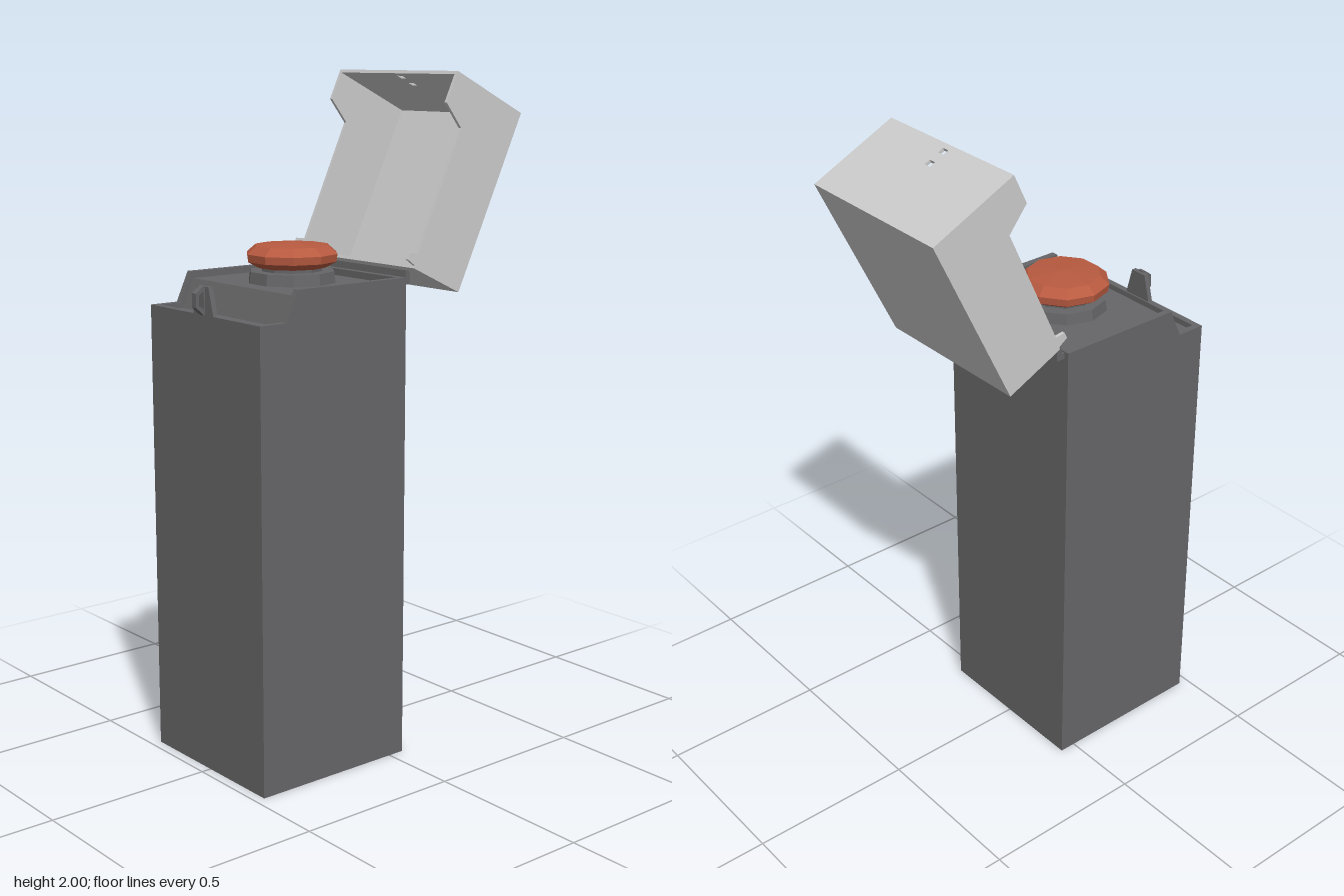
import * as THREE from 'three';

const mat = (color) => new THREE.MeshStandardMaterial({ color, side: THREE.DoubleSide, flatShading: true });
const dark = mat(0x666668), light = mat(0xcccccc), red = mat(0xb85a40);

function add(parent, name, geometry, material, x = 0, y = 0, z = 0) {
  const mesh = new THREE.Mesh(geometry, material);
  mesh.name = name;
  mesh.position.set(x, y, z);
  parent.add(mesh);
  return mesh;
}

const toPoints = (list) => list.map(([a, b]) => new THREE.Vector2(a, b));

// Extrude a (z, y) outline across x, centred on x = 0
function extrudeX(outline, width, hole) {
  const shape = new THREE.Shape(toPoints(outline));
  if (hole) shape.holes.push(new THREE.Path(toPoints(hole)));
  return new THREE.ExtrudeGeometry(shape, { depth: width, bevelEnabled: false })
    .rotateY(-Math.PI / 2).translate(width / 2, 0, 0);
}

// Flat-faced band between two lines of [x, y, z] points
function ribbon(a, b) {
  const pos = [];
  for (let i = 0; i < a.length - 1; i++) {
    pos.push(...a[i], ...b[i], ...b[i + 1], ...a[i], ...b[i + 1], ...a[i + 1]);
  }
  const g = new THREE.BufferGeometry();
  g.setAttribute('position', new THREE.Float32BufferAttribute(pos, 3));
  g.computeVertexNormals();
  return g;
}

function buildBody() {
  const body = new THREE.Group();
  body.name = 'pedestal';
  // (z, y) lines from front to back: outer rim, inner rim, sunken panel
  const outer = [[0.47, 1.345], [0.38, 1.345], [0.34, 1.432], [-0.05, 1.432]];
  const inner = [[0.45, 1.345], [0.38, 1.345], [0.34, 1.432], [-0.03, 1.432]];
  const floor = [[0.45, 1.328], [0.372, 1.328], [0.334, 1.412], [-0.03, 1.412]];
  const ground = outer.map(([z]) => [z, 0]);
  const at = (x, line) => line.map(([z, y]) => [x, y, z]);
  const X = 0.26, XI = 0.24;

  // Side walls, rims and inner lips
  for (const s of [1, -1]) {
    const band = (name, x0, l0, x1, l1) => {
      const a = at(s * x0, l0), b = at(s * x1, l1);
      add(body, name, s > 0 ? ribbon(b, a) : ribbon(a, b), dark);
    };
    band('sideWall', X, outer, X, ground);
    band('sideRim', XI, inner, X, outer);
    band('sideLip', XI, floor, XI, inner);
  }
  // Front and back walls, rims and lips (open underneath)
  for (const [i, s] of [[0, 1], [3, -1]]) {
    const across = (x, [z, y]) => [[-x * s, y, z], [x * s, y, z]];
    const band = (name, a, b) => add(body, name, ribbon(a, b), dark);
    const end = i === 0 ? 'front' : 'back';
    band(end + 'Wall', across(X, outer[i]), across(X, ground[i]));
    band(end + 'Rim', across(XI, inner[i]), across(X, outer[i]));
    band(end + 'Lip', across(XI, floor[i]), across(XI, inner[i]));
  }
  add(body, 'topPanel', ribbon(at(-XI, floor), at(XI, floor)), dark);

  // Latch plate and padlock loop
  const plate = new THREE.Shape(toPoints([[-0.052, 1.33], [0.052, 1.33], [0.027, 1.425], [-0.027, 1.425]]));
  add(body, 'latchPlate', new THREE.ExtrudeGeometry(plate, { depth: 0.015, bevelEnabled: false }), dark, 0, 0, 0.455);
  add(body, 'latchLoop', extrudeX(
    [[0.465, 1.345], [0.474, 1.345], [0.5, 1.368], [0.5, 1.408], [0.474, 1.428], [0.465, 1.428]], 0.02,
    [[0.474, 1.362], [0.49, 1.374], [0.49, 1.402], [0.474, 1.412]]), dark);

  // Hinge strip behind the top
  add(body, 'hinge', extrudeX(
    [[-0.05, 1.41], [-0.078, 1.41], [-0.078, 1.44], [-0.072, 1.45], [-0.062, 1.45],
      [-0.06, 1.428], [-0.05, 1.428]], 0.49), dark);
  return body;
}

function buildButton() {
  const button = new THREE.Group();
  button.name = 'button';
  button.position.z = 0.157;
  const sides = 10;
  add(button, 'buttonCollar', new THREE.CylinderGeometry(0.125, 0.13, 0.034, sides).rotateY(Math.PI / 2), dark, 0, 1.428);
  add(button, 'buttonStem', new THREE.CylinderGeometry(0.09, 0.09, 0.03, sides).rotateY(Math.PI / 2), dark, 0, 1.455);
  const profile = [[0, 1.455], [0.1, 1.455], [0.132, 1.473], [0.135, 1.495], [0.108, 1.518], [0, 1.526]];
  add(button, 'buttonCap', new THREE.LatheGeometry(toPoints(profile), sides).rotateY(Math.PI / 2), red);
  return button;
}

// Lid in its own frame: y runs from hinge to free end, z from cover to rim
function buildLid() {
  const lid = new THREE.Group();
  lid.name = 'lid';
  const L = 0.564, W = 0.52, D = 0.286, T = 0.01;
  const side = [[0, 0], [0.194, 0], [0.194, 0.008], [0.228, 0.014], [0.228, 0.034], [0.198, 0.044],
    [0.203, 0.426], [D, 0.467], [D, L], [0, L]];
  for (const s of [1, -1]) add(lid, 'lidSide', extrudeX(side, T), light, s * (W - T) / 2);
  const inside = W - 2 * T;
  add(lid, 'lidCover', new THREE.BoxGeometry(inside, L, T), light, 0, L / 2, T / 2);
  add(lid, 'lidHingeWall', new THREE.BoxGeometry(inside, T, 0.194 - T), light, 0, T / 2, (0.194 + T) / 2);

  // Free end wall with two slots for the latch loop
  const wall = new THREE.Shape(toPoints([[-inside / 2, T], [inside / 2, T], [inside / 2, D], [-inside / 2, D]]));
  for (const v of [0.211, 0.26]) {
    wall.holes.push(new THREE.Path(toPoints(
      [[-0.011, v - 0.009], [-0.011, v + 0.009], [0.011, v + 0.009], [0.011, v - 0.009]])));
  }
  add(lid, 'lidEndWall', new THREE.ExtrudeGeometry(wall, { depth: T, bevelEnabled: false }).rotateX(Math.PI / 2),
    light, 0, L, 0);

  lid.position.set(0, 1.372, -0.255);
  lid.rotation.x = -0.446;
  return lid;
}

export function createModel() {
  const model = new THREE.Group();
  model.name = 'coveredPushButtonPedestal';
  model.add(buildBody(), buildButton(), buildLid());
  return model;
}
